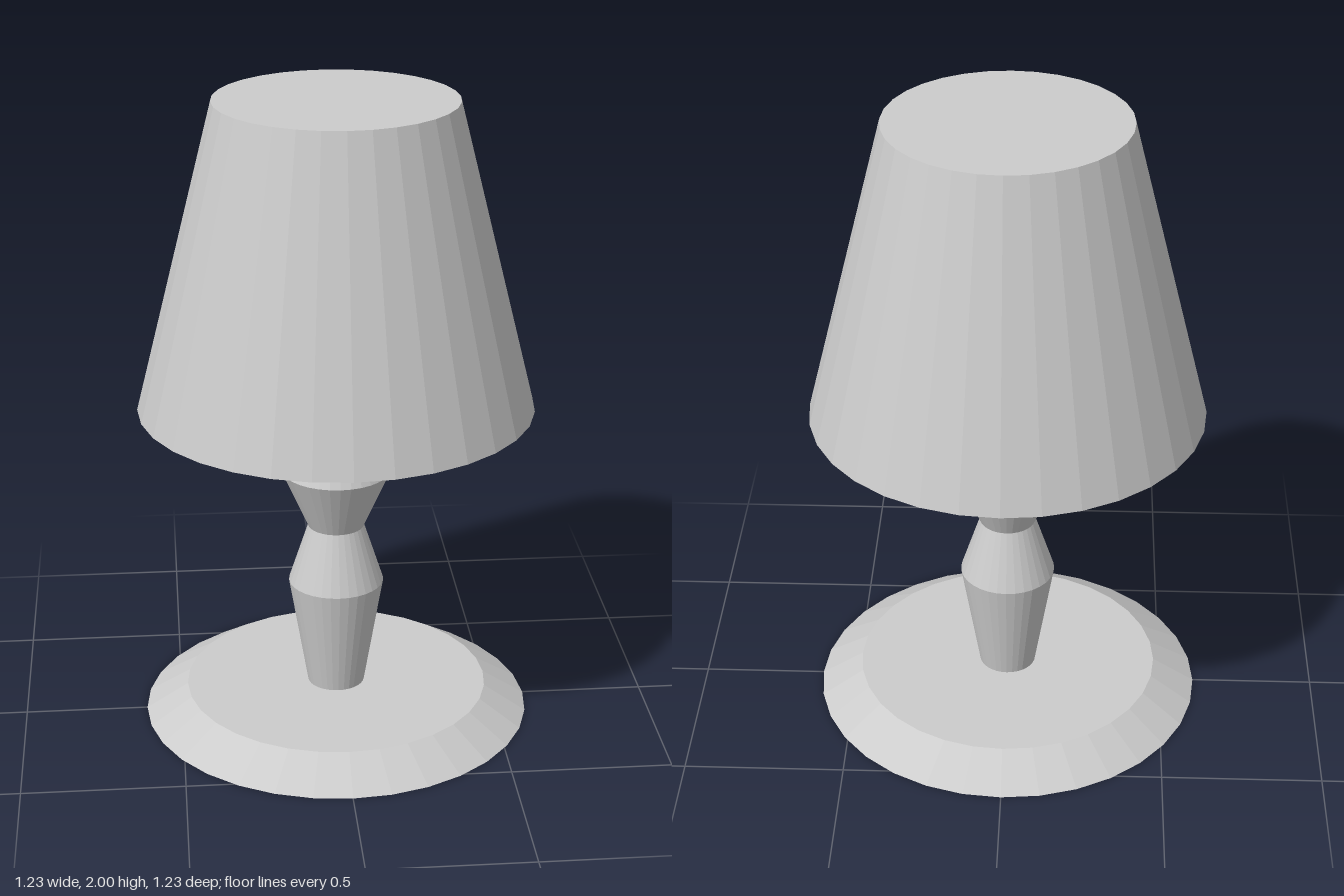
import * as THREE from 'three';

const SIDES = 32;
const material = new THREE.MeshStandardMaterial({ color: 0xcccccc, flatShading: true });

// Faceted solid turned around the y axis; the profile is [radius, height] with the outside running upward.
function turned(name, profile) {
  const points = profile.map(([r, y]) => new THREE.Vector2(r, y));
  const geometry = new THREE.LatheGeometry(points, SIDES).toNonIndexed();
  geometry.computeVertexNormals();
  const mesh = new THREE.Mesh(geometry, material);
  mesh.name = name;
  return mesh;
}

export function createModel() {
  const lamp = new THREE.Group();
  lamp.name = 'tableLamp';

  // Round foot with a sloping rim
  lamp.add(turned('base', [[0, 0], [0.613, 0], [0.48, 0.083], [0, 0.083]]));

  // Turned stem with two bulges, running on as a plain post into the shade
  lamp.add(turned('stem', [
    [0, 0.083], [0.09, 0.083], [0.15, 0.44], [0.088, 0.63],
    [0.172, 0.82], [0.088, 1.015], [0.088, 1.985], [0, 1.985],
  ]));

  // Thin-walled shade, open below and closed on top
  lamp.add(turned('shade', [
    [0, 1.985], [0.36, 1.985], [0.598, 1.038], [0.613, 1.038], [0.37, 2], [0, 2],
  ]));

  return lamp;
}
